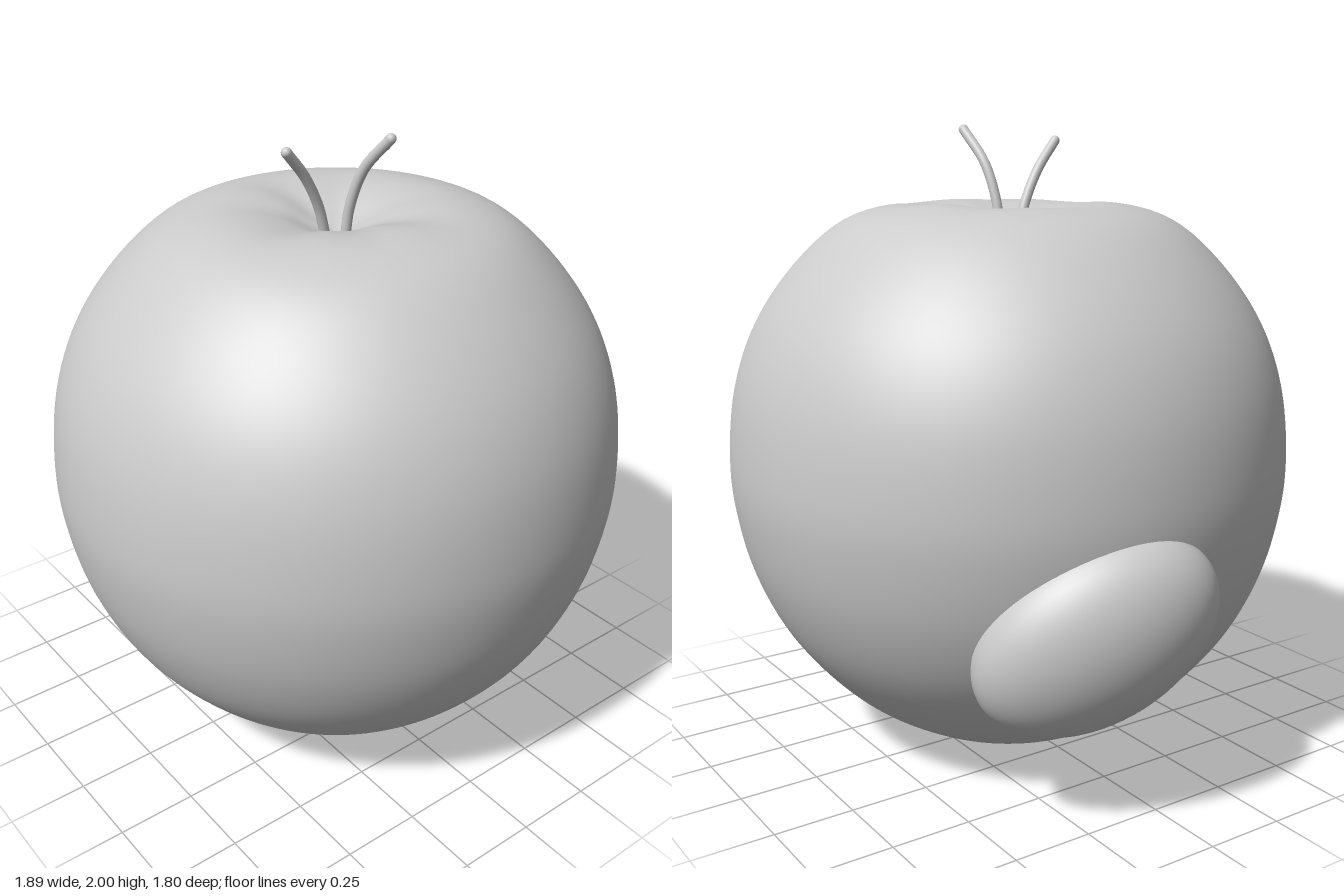
import * as THREE from 'three';
import { mergeVertices } from 'three/addons/utils/BufferGeometryUtils.js';

const material = new THREE.MeshStandardMaterial({ color: 0xcccccc, roughness: 0.7 });
const CENTRE_X = 0.04;

// Fruit body: lathed profile with soft puckers in the top hollow
function makeBody() {
  const profile = [
    [0, 0.004], [0.16, 0.003], [0.27, 0.03], [0.42, 0.1], [0.57, 0.205], [0.74, 0.4],
    [0.84, 0.6], [0.89, 0.8], [0.902, 0.96], [0.875, 1.2], [0.8, 1.4], [0.67, 1.58],
    [0.53, 1.7], [0.39, 1.75], [0.28, 1.757], [0.17, 1.735], [0.08, 1.695], [0, 1.665],
  ].map(([x, y]) => new THREE.Vector3(x, y, 0));
  const points = new THREE.CatmullRomCurve3(profile, false, 'centripetal')
    .getPoints(110).map((p) => new THREE.Vector2(Math.max(p.x, 0), p.y));
  let geometry = new THREE.LatheGeometry(points, 128);
  geometry.deleteAttribute('uv');
  geometry.deleteAttribute('normal');
  geometry = mergeVertices(geometry, 1e-4);
  const pos = geometry.attributes.position;
  for (let i = 0; i < pos.count; i++) {
    const x = pos.getX(i), y = pos.getY(i), z = pos.getZ(i);
    const r = Math.hypot(x, z), a = Math.atan2(z, x);
    if (y < 1.6 || r > 0.5) continue;
    const fade = Math.pow(Math.sin(Math.PI * r / 0.5), 2) * (1 - r);
    const pucker = Math.sin(3 * a + 0.6) + 0.6 * Math.sin(7 * a + 2) - 1;
    pos.setY(i, y + 0.007 * fade * pucker);
  }
  geometry.computeVertexNormals();
  const mesh = new THREE.Mesh(geometry, material);
  mesh.name = 'body';
  mesh.position.x = CENTRE_X;
  return mesh;
}

// Tilted oval swelling low on the side
function makeBulge() {
  const out = new THREE.Vector3(-0.93, -0.25, -0.26).normalize();
  const along = new THREE.Vector3(0, 0.55, 0.83);
  along.addScaledVector(out, -along.dot(out)).normalize();
  const across = new THREE.Vector3().crossVectors(out, along);
  const mesh = new THREE.Mesh(new THREE.SphereGeometry(1, 64, 40), material);
  mesh.name = 'bulge';
  mesh.quaternion.setFromRotationMatrix(new THREE.Matrix4().makeBasis(out, along, across));
  mesh.scale.set(0.2, 0.38, 0.28);
  mesh.position.set(-0.72, 0.59, -0.21);
  return mesh;
}

// Thin bent stalk with a rounded tip
function makeStalk(name, coords) {
  const radius = 0.016;
  const path = coords.map((c) => new THREE.Vector3(...c));
  const stalk = new THREE.Group();
  stalk.name = name;
  const stem = new THREE.Mesh(
    new THREE.TubeGeometry(new THREE.CatmullRomCurve3(path), 28, radius, 14), material);
  stem.name = name + 'Stem';
  const tip = new THREE.Mesh(new THREE.SphereGeometry(radius, 14, 10), material);
  tip.name = name + 'Tip';
  tip.position.copy(path[path.length - 1]);
  stalk.add(stem, tip);
  return stalk;
}

export function createModel() {
  const model = new THREE.Group();
  model.name = 'fruit';
  model.add(
    makeBody(),
    makeBulge(),
    makeStalk('longStalk', [[0.07, 1.66, -0.01], [0.085, 1.76, -0.015], [0.13, 1.88, -0.03], [0.22, 1.985, -0.053]]),
    makeStalk('shortStalk', [[0.025, 1.66, 0.03], [0.03, 1.76, 0.06], [0.04, 1.86, 0.115], [0.052, 1.95, 0.19]]),
  );
  return model;
}
